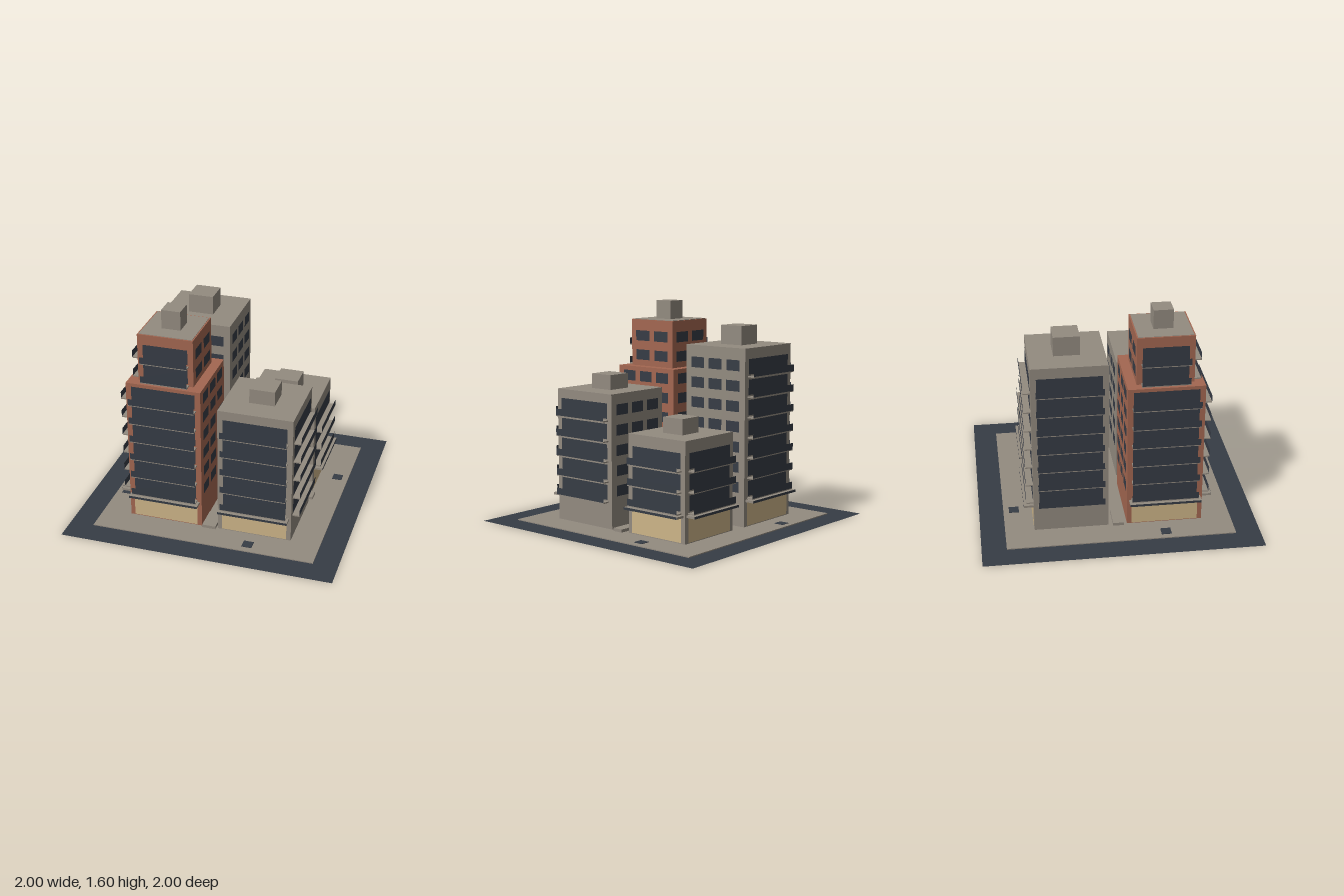
import * as THREE from 'three';

const concrete = new THREE.MeshStandardMaterial({ color: 0x938b80, name: 'concrete' });
const brick = new THREE.MeshStandardMaterial({ color: 0xa36751, name: 'brick' });
const dark = new THREE.MeshStandardMaterial({ color: 0x363c45, name: 'dark slate', side: THREE.DoubleSide });
const shopGlow = new THREE.MeshStandardMaterial({ color: 0xcdb588, name: 'shop tan', side: THREE.DoubleSide });

const STOREY = 0.1467;

// box given by its centre in x and z and its bottom and top in y
function box(parent, name, mat, x, z, w, d, y0, y1) {
  const m = new THREE.Mesh(new THREE.BoxGeometry(w, y1 - y0, d), mat);
  m.position.set(x, (y0 + y1) / 2, z);
  m.name = name;
  parent.add(m);
}

// upright flat panel facing local +z
function panel(parent, name, mat, x, z, w, y0, y1) {
  const m = new THREE.Mesh(new THREE.PlaneGeometry(w, y1 - y0), mat);
  m.position.set(x, (y0 + y1) / 2, z);
  m.name = name;
  parent.add(m);
}

// one balcony per storey: wide window, slab and railing
function balconyFacade(f, w, z, base, floors) {
  for (let i = 0; i < floors; i++) {
    const y = base + i * STOREY;
    panel(f, 'wideWindow', dark, 0, z + 0.003, w - 0.08, y + 0.02, y + 0.13);
    box(f, 'balconySlab', concrete, 0, z + 0.026, w - 0.065, 0.052, y, y + 0.009);
    panel(f, 'balconyRailing', dark, 0, z + 0.053, w - 0.063, y + 0.007, y + 0.056);
  }
}

// grid of small windows
function windowFacade(f, w, z, base, floors, cols) {
  for (let i = 0; i < floors; i++) {
    const y = base + i * STOREY;
    for (let c = 0; c < cols; c++) {
      const x = (c - (cols - 1) / 2) * w * 0.9 / cols;
      panel(f, 'smallWindow', dark, x, z + 0.003, w * 0.66 / cols, y + 0.043, y + 0.121);
    }
  }
}

// shop front with a canopy above it
function shopFront(f, w, z, base) {
  panel(f, 'shopFront', shopGlow, 0, z + 0.003, w - 0.065, 0.014, base - 0.022);
  box(f, 'canopy', concrete, 0, z + 0.035, w - 0.03, 0.07, base - 0.021, base - 0.005);
  panel(f, 'canopyFascia', dark, 0, z + 0.071, w - 0.03, base - 0.022, base - 0.004);
}

const ANGLES = { front: 0, left: Math.PI / 2, back: Math.PI, right: -Math.PI / 2 };

// a block with four facades; sides listed in balconies and shops get those features
function block(o) {
  const g = new THREE.Group();
  g.name = o.name;
  g.position.set(o.x, 0, o.z);
  box(g, 'walls', o.mat, 0, 0, o.w, o.d, o.y0, o.y1);
  for (const side in ANGLES) {
    const f = new THREE.Group();
    f.name = side + 'Facade';
    f.rotation.y = ANGLES[side];
    const across = side === 'front' || side === 'back';
    const w = across ? o.w : o.d;
    const z = (across ? o.d : o.w) / 2;
    if (o.balconies.includes(side)) balconyFacade(f, w, z, o.base, o.floors);
    else windowFacade(f, w, z, o.base, o.floors, o.cols);
    if (o.shops.includes(side)) shopFront(f, w, z, o.base);
    g.add(f);
  }
  if (o.hut) box(g, 'roofHut', concrete, 0, 0, o.hut, o.hut, o.y1, o.hutTop);
  return g;
}

export function createModel() {
  const model = new THREE.Group();
  model.name = 'cityBlock';

  // street and pavement
  const street = new THREE.Mesh(new THREE.PlaneGeometry(2, 2), dark);
  street.rotation.x = -Math.PI / 2;
  street.name = 'street';
  model.add(street);
  box(model, 'pavement', concrete, 0, 0, 1.645, 1.645, 0.001, 0.008);

  // drain covers
  for (const [x, z] of [[-0.33, -0.745], [0.74, -0.33], [-0.745, 0.325], [0.325, 0.74]])
    box(model, 'drainCover', dark, x, z, 0.073, 0.073, 0.006, 0.011);

  // low benches between the towers
  box(model, 'bench', concrete, -0.54, -0.003, 0.177, 0.08, 0.008, 0.03);
  box(model, 'bench', concrete, 0.54, -0.003, 0.177, 0.08, 0.008, 0.03);
  box(model, 'bench', concrete, -0.003, 0.537, 0.1, 0.177, 0.008, 0.03);

  // stepped brick tower
  model.add(block({
    name: 'brickTowerBase', mat: brick, x: -0.335, z: 0.333, w: 0.549, d: 0.546, y0: 0.005, y1: 1.1,
    base: 0.213, floors: 6, cols: 3, balconies: ['front', 'right'], shops: ['front', 'right'],
  }));
  const top = block({
    name: 'brickTowerTop', mat: brick, x: -0.335, z: 0.333, w: 0.407, d: 0.407, y0: 1.1, y1: 1.453,
    base: 1.102, floors: 2, cols: 2, balconies: ['front', 'right'], shops: [], hut: 0.14, hutTop: 1.595,
  });
  box(top, 'roofDeck', concrete, 0, 0, 0.388, 0.388, 1.45, 1.456);
  model.add(top);

  // three concrete towers
  model.add(block({
    name: 'frontLeftTower', mat: concrete, x: 0.333, z: 0.337, w: 0.545, d: 0.535, y0: 0.005, y1: 0.982,
    base: 0.199, floors: 5, cols: 3, balconies: ['front', 'left'], shops: ['front'], hut: 0.185, hutTop: 1.09,
  }));
  model.add(block({
    name: 'backRightTower', mat: concrete, x: -0.332, z: -0.342, w: 0.557, d: 0.537, y0: 0.005, y1: 1.3,
    base: 0.213, floors: 7, cols: 3, balconies: ['back', 'right'], shops: ['back'], hut: 0.187, hutTop: 1.44,
  }));
  model.add(block({
    name: 'backLeftTower', mat: concrete, x: 0.333, z: -0.342, w: 0.527, d: 0.518, y0: 0.005, y1: 0.722,
    base: 0.213, floors: 3, cols: 3, balconies: ['back', 'left'], shops: ['back', 'left'], hut: 0.177, hutTop: 0.835,
  }));

  return model;
}
